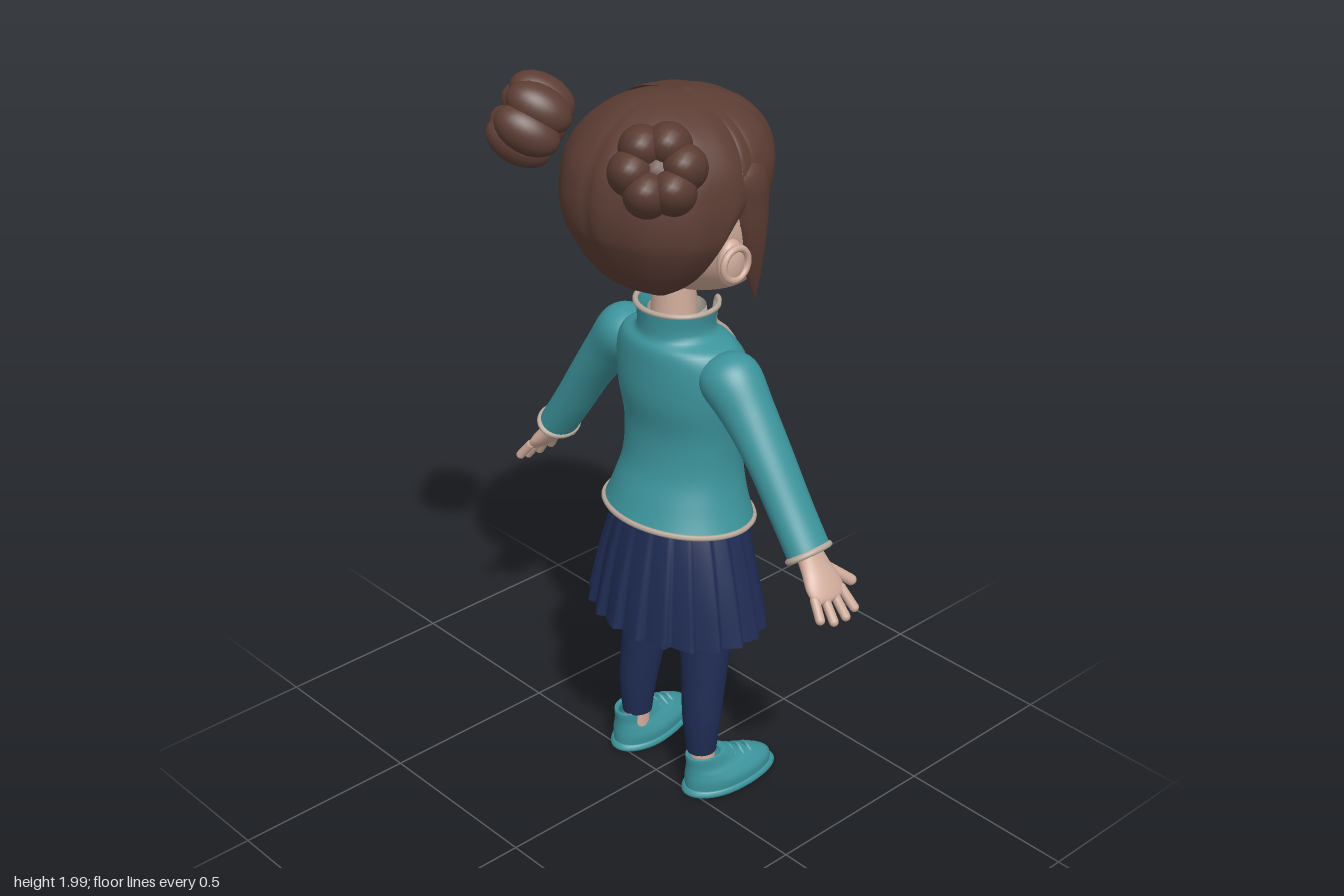
import * as THREE from 'three';

const mat = (name, color, side = THREE.DoubleSide) => {
  const m = new THREE.MeshStandardMaterial({ color, side });
  m.name = name;
  return m;
};
const M = {
  hair: mat('brown hair', 0x5c3d34), skin: mat('skin', 0xcfab9a), teal: mat('teal cloth', 0x3c949c),
  navy: mat('navy cloth', 0x1f2c54), shirt: mat('cream shirt', 0xc6c0b4), trim: mat('beige trim', 0xbbab9e),
  white: mat('eye white', 0xd6cdc9), iris: mat('brown iris', 0x553c36), dark: mat('dark lash', 0x241a18),
  lips: mat('lips', 0xb5827a),
};

function add(parent, name, geo, material, pos = [0, 0, 0]) {
  const mesh = new THREE.Mesh(geo, material);
  mesh.name = name;
  mesh.position.set(...pos);
  parent.add(mesh);
  return mesh;
}

// Smooth interpolation between rows of numbers, t from 0 to 1
function blend(rows, t) {
  const f = t * (rows.length - 1), i = Math.min(Math.floor(f), rows.length - 2), u = f - i;
  const r = (k) => rows[Math.max(0, Math.min(rows.length - 1, k))];
  return rows[0].map((_, c) => {
    const [a, b, d, e] = [r(i - 1)[c], r(i)[c], r(i + 1)[c], r(i + 2)[c]];
    return b + 0.5 * u * (d - a + u * (2 * a - 5 * b + 4 * d - e + u * (3 * (b - d) + e - a)));
  });
}

// Skin over rising elliptical rings: [y, centre x, centre z, radius x, front radius, back radius, half gap at front]
// range limits the angle (0 faces front); shape(point, angle, t, ring) adjusts each point.
function loft(rows, { seg = 40, steps = 6, range = null, shape = null } = {}) {
  const H = (rows.length - 1) * steps + 1, W = seg + 1, pos = [], idx = [];
  const open = range || rows[0].length > 6;
  for (let j = 0; j < H; j++) {
    const t = j / (H - 1), [y, cx, cz, rx, rf, rb, gap = 0] = blend(rows, t);
    const a0 = range ? range[0] : gap ? Math.asin(Math.min(1, gap / rx)) : 0;
    const a1 = range ? range[1] : 2 * Math.PI - a0;
    for (let i = 0; i < W; i++) {
      const a = a0 + (a1 - a0) * i / seg, c = Math.cos(a);
      const p = new THREE.Vector3(cx + Math.max(0, rx) * Math.sin(a), y, cz + Math.max(0, c > 0 ? rf : rb) * c);
      if (shape) shape(p, a, t, cx, cz);
      pos.push(p.x, p.y, p.z);
    }
  }
  const at = (i, j) => j * W + (open ? i : i % seg);
  for (let j = 0; j < H - 1; j++) for (let i = 0; i < seg; i++) {
    const a = at(i, j), b = at(i + 1, j), c = at(i, j + 1), d = at(i + 1, j + 1);
    idx.push(a, b, d, a, d, c);
  }
  const g = new THREE.BufferGeometry();
  g.setAttribute('position', new THREE.Float32BufferAttribute(pos, 3));
  g.setIndex(idx);
  g.computeVertexNormals();
  g.userData = { W, H };
  return g;
}
const swell = (p, k, cx, cz) => { p.x = cx + (p.x - cx) * k; p.z = cz + (p.z - cz) * k; };
const tube = (pts, r, closed = false, n = 20) =>
  new THREE.TubeGeometry(new THREE.CatmullRomCurve3(pts.map((p) => new THREE.Vector3(...p)), closed), n, r, 6, closed);

// Thin disc or arc laid onto the front of a target mesh
function decal(parent, name, material, target, [x, y], [sx, sy], lift, inner = 0, start = 0, len = Math.PI * 2) {
  const g = new THREE.RingGeometry(inner, 1, 28, 4, start, len), p = g.attributes.position;
  const ray = new THREE.Raycaster();
  for (let i = 0; i < p.count; i++) {
    const px = x + p.getX(i) * sx, py = y + p.getY(i) * sy;
    ray.set(new THREE.Vector3(px, py, 2), new THREE.Vector3(0, 0, -1));
    const hit = ray.intersectObject(target)[0];
    p.setXYZ(i, px, py, (hit ? hit.point.z : 0.2) + lift);
  }
  g.computeVertexNormals();
  add(parent, name, g, material);
}

function buildHead(g) {
  const head = add(g, 'head', loft([
    [1.428, 0, 0.19, 0, 0, 0], [1.436, 0, 0.18, 0.08, 0.08, 0.1], [1.47, 0, 0.14, 0.143, 0.138, 0.13],
    [1.53, 0, 0.09, 0.19, 0.19, 0.16], [1.6, 0, 0.06, 0.212, 0.216, 0.18], [1.67, 0, 0.06, 0.218, 0.205, 0.18],
    [1.76, 0, 0.06, 0.205, 0.195, 0.17], [1.85, 0, 0.06, 0.14, 0.14, 0.12], [1.89, 0, 0.06, 0, 0, 0]]), M.skin);
  head.updateMatrixWorld();
  add(g, 'neck', new THREE.CylinderGeometry(0.05, 0.062, 0.2, 24), M.skin, [0, 1.42, 0.06]);
  add(g, 'nose', new THREE.SphereGeometry(1, 20, 14), M.skin, [0, 1.588, 0.28]).scale.set(0.026, 0.022, 0.03);
  add(g, 'noseBridge', new THREE.SphereGeometry(1, 16, 12), M.skin, [0, 1.62, 0.267]).scale.set(0.016, 0.045, 0.018);
  decal(g, 'mouth', M.lips, head, [0, 1.55], [0.055, 0.024], 0.004, 0.72, Math.PI + 0.35, Math.PI - 0.7);
  decal(g, 'lowerLip', M.lips, head, [0, 1.525], [0.024, 0.007], 0.004);
  for (const s of [-1, 1]) {
    const x = s * 0.097, y = 1.655;
    add(g, 'ear', new THREE.SphereGeometry(1, 20, 14), M.skin, [s * 0.222, 1.582, 0.035]).scale.set(0.026, 0.06, 0.04);
    add(g, 'earRim', new THREE.TorusGeometry(0.04, 0.009, 8, 24), M.skin, [s * 0.242, 1.585, 0.032]).rotation.y = Math.PI / 2;
    decal(g, 'eyeWhite', M.white, head, [x, y], [0.05, 0.033], 0.003);
    decal(g, 'iris', M.iris, head, [x, y + 0.002], [0.03, 0.031], 0.005);
    decal(g, 'pupil', M.dark, head, [x, y + 0.002], [0.014, 0.015], 0.007);
    decal(g, 'eyeGlint', M.white, head, [x - 0.008, y + 0.012], [0.005, 0.005], 0.009);
    decal(g, 'eyelash', M.dark, head, [x, y], [0.057, 0.039], 0.006, 0.84, 0.1, Math.PI - 0.2);
    decal(g, 'eyebrow', M.dark, head, [x, 1.7], [0.055, 0.03], 0.005, 0.75, 0.5, Math.PI - 1);
  }
}

function buildHair(g) {
  // Back of the hair with a centre parting
  add(g, 'backHair', loft([
    [1.455, 0, -0.01, 0.05, 0.03, 0.03], [1.5, 0, -0.02, 0.12, 0.04, 0.1], [1.55, 0, -0.02, 0.175, 0.04, 0.145],
    [1.62, 0, -0.01, 0.222, 0.05, 0.195], [1.67, 0, 0, 0.238, 0.12, 0.225], [1.74, 0, 0.02, 0.243, 0.2, 0.25],
    [1.82, 0, 0.02, 0.225, 0.19, 0.23], [1.89, 0, 0.02, 0.17, 0.15, 0.175], [1.935, 0, 0.02, 0.09, 0.09, 0.1],
    [1.95, 0, 0.02, 0, 0, 0]], {
    seg: 96, shape: (p, a, t, cx, cz) =>
      swell(p, 1 - 0.035 * Math.exp(-(((a - Math.PI) / 0.07) ** 2)) + 0.006 * Math.sin(a * 12), cx, cz),
  }), M.hair);
  // Fringe of separate locks with a jagged lower edge
  add(g, 'fringe', loft([
    [1.725, 0, 0.08, 0.225, 0.212, 0.1], [1.8, 0, 0.08, 0.234, 0.22, 0.1], [1.87, 0, 0.08, 0.205, 0.19, 0.09],
    [1.92, 0, 0.08, 0.135, 0.125, 0.07], [1.948, 0, 0.08, 0, 0, 0]], {
    seg: 160, range: [-1.75, 1.75], shape: (p, a, t, cx, cz) => {
      const lock = Math.sqrt(Math.abs(Math.sin(a * 4.5 + 0.4)));
      swell(p, 0.965 + 0.045 * lock, cx, cz);
      p.y += (1 - t) ** 4 * (0.045 * (1 - lock) - 0.02 * a * a);
    },
  }), M.hair);
  for (const s of [-1, 1]) {
    add(g, 'sideLock', loft([
      [1.43, s * 0.172, 0.168, 0.001, 0.001, 0.001], [1.5, s * 0.187, 0.152, 0.012, 0.016, 0.025],
      [1.6, s * 0.206, 0.132, 0.02, 0.03, 0.045], [1.7, s * 0.214, 0.115, 0.026, 0.045, 0.055],
      [1.8, s * 0.2, 0.1, 0.036, 0.05, 0.06], [1.88, s * 0.15, 0.09, 0, 0, 0]], { seg: 20 }), M.hair);
    // Bun: a ring of lobes around an outward axis
    const bun = new THREE.Group();
    bun.name = 'bun';
    bun.position.set(s * 0.222, 1.878, -0.2);
    bun.quaternion.setFromUnitVectors(new THREE.Vector3(0, 0, 1), new THREE.Vector3(s * 0.6, 0.5, -0.62).normalize());
    g.add(bun);
    for (let i = 0; i < 6; i++) {
      const a = i * Math.PI / 3;
      add(bun, 'bunLobe', new THREE.SphereGeometry(1, 20, 16), M.hair, [0.06 * Math.cos(a), 0.06 * Math.sin(a), 0])
        .scale.set(0.055, 0.055, 0.085);
    }
    add(bun, 'bunCore', new THREE.SphereGeometry(0.07, 20, 14), M.hair, [0, 0, -0.02]);
  }
}

function buildClothes(g) {
  add(g, 'shirt', loft([
    [0.9, 0, 0.08, 0.12, 0.12, 0.09], [1.0, 0, 0.08, 0.125, 0.13, 0.09], [1.12, 0, 0.08, 0.14, 0.147, 0.1],
    [1.24, 0, 0.08, 0.13, 0.128, 0.1], [1.32, 0, 0.07, 0.085, 0.09, 0.08], [1.385, 0, 0.065, 0.07, 0.082, 0.07]]), M.shirt);
  // Open jacket with standing collar
  const geo = loft([
    [0.815, 0, 0.08, 0.21, 0.18, 0.18, 0.068], [0.88, 0, 0.08, 0.185, 0.168, 0.155, 0.062],
    [0.96, 0, 0.08, 0.165, 0.165, 0.125, 0.06], [1.06, 0, 0.08, 0.166, 0.172, 0.115, 0.06],
    [1.16, 0, 0.08, 0.182, 0.168, 0.13, 0.06], [1.25, 0, 0.085, 0.19, 0.142, 0.135, 0.058],
    [1.305, 0, 0.08, 0.165, 0.11, 0.125, 0.052], [1.335, 0, 0.07, 0.105, 0.095, 0.098, 0.046],
    [1.4, 0, 0.07, 0.108, 0.1, 0.1, 0.055]], {
    seg: 60, shape: (p, a, t) => { p.y -= (1 - t) ** 4 * 0.1 * (p.z - 0.08); },
  });
  const jacket = add(g, 'jacket', geo, M.teal);
  jacket.updateMatrixWorld();
  // One piping loop round hem, opening and collar
  const { W, H } = geo.userData, ring = [], P = geo.attributes.position;
  const put = (i, j) => ring.push([P.getX(j * W + i), P.getY(j * W + i), P.getZ(j * W + i)]);
  for (let i = 0; i < W - 1; i += 2) put(i, 0);
  for (let j = 0; j < H - 1; j += 3) put(W - 1, j);
  for (let i = W - 1; i > 0; i -= 2) put(i, H - 1);
  for (let j = H - 1; j > 0; j -= 3) put(0, j);
  add(g, 'jacketPiping', tube(ring, 0.0075, true, 260), M.trim);
  // Flower badge on the chest
  for (let i = 0; i < 5; i++) {
    const a = i * 1.2566 + Math.PI / 2;
    decal(g, 'badgePetal', M.trim, jacket, [0.118 + 0.019 * Math.cos(a), 1.212 + 0.019 * Math.sin(a)], [0.016, 0.016], 0.006);
  }
  decal(g, 'badgeCentre', M.lips, jacket, [0.118, 1.212], [0.008, 0.008], 0.009);
  // Pleated skirt
  add(g, 'skirt', loft([
    [0.503, 0, 0.075, 0.258, 0.205, 0.205], [0.65, 0, 0.075, 0.228, 0.185, 0.18],
    [0.8, 0, 0.08, 0.185, 0.162, 0.15], [0.93, 0, 0.08, 0.128, 0.13, 0.105]], {
    seg: 240, shape: (p, a, t, cx, cz) => {
      const u = (a * 20 / (2 * Math.PI)) % 1, fold = u < 0.8 ? u / 0.8 : (1 - u) / 0.2;
      swell(p, 1 + (1 - t) * 0.09 * (fold - 0.5), cx, cz);
      p.y -= (1 - t) * 0.05 * (p.z - 0.08);
    },
  }), M.navy);
  add(g, 'waistband', loft([[0.905, 0, 0.08, 0.138, 0.14, 0.11], [0.945, 0, 0.08, 0.128, 0.132, 0.105],
    [0.947, 0, 0.08, 0.11, 0.11, 0.09]]), M.navy);
}

function buildArm(g, s) {
  const arm = new THREE.Group();
  arm.name = s > 0 ? 'leftArm' : 'rightArm';
  arm.position.set(s * 0.185, 1.252, 0.075);
  arm.rotation.z = s * 0.65;
  g.add(arm);
  add(arm, 'sleeve', loft([
    [-0.475, 0, 0, 0.048, 0.062, 0.06], [-0.36, s * 0.004, 0, 0.05, 0.062, 0.06], [-0.22, s * 0.012, 0, 0.054, 0.064, 0.064],
    [-0.1, s * 0.01, 0, 0.066, 0.068, 0.07], [0, 0, 0, 0.08, 0.075, 0.08], [0.05, -s * 0.01, 0, 0.055, 0.05, 0.055],
    [0.07, -s * 0.02, 0, 0, 0, 0]]), M.teal);
  const cuff = add(arm, 'cuffPiping', new THREE.TorusGeometry(1, 0.15, 8, 32), M.trim, [0, -0.472, 0]);
  cuff.rotation.x = Math.PI / 2;
  cuff.scale.set(0.047, 0.06, 0.055);
  add(arm, 'palm', loft([
    [-0.605, s * 0.004, 0, 0, 0, 0], [-0.595, s * 0.004, 0, 0.014, 0.045, 0.045], [-0.56, s * 0.002, 0, 0.021, 0.056, 0.056],
    [-0.51, 0, 0, 0.024, 0.046, 0.044], [-0.46, 0, 0, 0.03, 0.034, 0.034]], { seg: 24 }), M.skin);
  // Spread fingers and thumb, each a capsule
  const digits = [[-0.046, -0.21, 0.05], [-0.016, -0.07, 0.068], [0.016, 0.07, 0.07], [0.045, 0.2, 0.06]];
  for (const [z, tilt, len] of digits) {
    const finger = add(arm, 'finger', new THREE.CapsuleGeometry(0.0125, len, 5, 10), M.skin,
      [s * 0.004, -0.582 - len / 2, z + Math.sin(tilt) * 0.03]);
    finger.rotation.x = -tilt;
  }
  add(arm, 'thumb', new THREE.CapsuleGeometry(0.0145, 0.07, 5, 10), M.skin, [-s * 0.006, -0.553, 0.068]).rotation.x = -0.75;
}

function buildLeg(g, s) {
  add(g, 'legging', loft([
    [0.12, s * 0.128, 0.048, 0.04, 0.04, 0.042], [0.22, s * 0.126, 0.05, 0.052, 0.05, 0.052],
    [0.36, s * 0.117, 0.065, 0.063, 0.062, 0.062], [0.5, s * 0.106, 0.08, 0.072, 0.072, 0.072],
    [0.7, s * 0.088, 0.08, 0.084, 0.09, 0.09], [0.88, s * 0.06, 0.08, 0.06, 0.09, 0.08]], { seg: 28 }), M.navy);
  add(g, 'ankle', new THREE.CylinderGeometry(0.035, 0.036, 0.1, 20), M.skin, [s * 0.13, 0.1, 0.048]);
  const shoe = new THREE.Group();
  shoe.name = s > 0 ? 'leftShoe' : 'rightShoe';
  shoe.position.x = s * 0.141;
  shoe.rotation.y = s * 0.1;
  g.add(shoe);
  add(shoe, 'sole', loft([[0, 0, 0.1, 0, 0, 0], [0.001, 0, 0.1, 0.066, 0.164, 0.112], [0.02, 0, 0.1, 0.07, 0.172, 0.116],
    [0.022, 0, 0.1, 0.05, 0.14, 0.1]]), M.teal);
  add(shoe, 'upper', loft([
    [0.015, 0, 0.1, 0.066, 0.165, 0.112], [0.045, 0, 0.095, 0.068, 0.165, 0.107], [0.07, 0, 0.075, 0.058, 0.145, 0.085],
    [0.09, 0, 0.06, 0.048, 0.1, 0.07], [0.122, 0, 0.045, 0.043, 0.055, 0.058], [0.118, 0, 0.045, 0.034, 0.04, 0.045]]), M.teal);
  for (let i = 0; i < 3; i++) {
    const z = 0.125 + i * 0.03, y = 0.107 - i * 0.011;
    add(shoe, 'lace', tube([[-0.032, y - 0.018, z], [0, y, z], [0.032, y - 0.018, z]], 0.006), M.teal);
  }
}

export function createModel() {
  const model = new THREE.Group(), girl = new THREE.Group();
  model.name = 'model';
  girl.name = 'girl';
  buildHead(girl);
  buildHair(girl);
  buildClothes(girl);
  for (const s of [-1, 1]) {
    buildArm(girl, s);
    buildLeg(girl, s);
  }
  // The figure looks along +x
  girl.rotation.y = Math.PI / 2;
  model.add(girl);
  return model;
}
